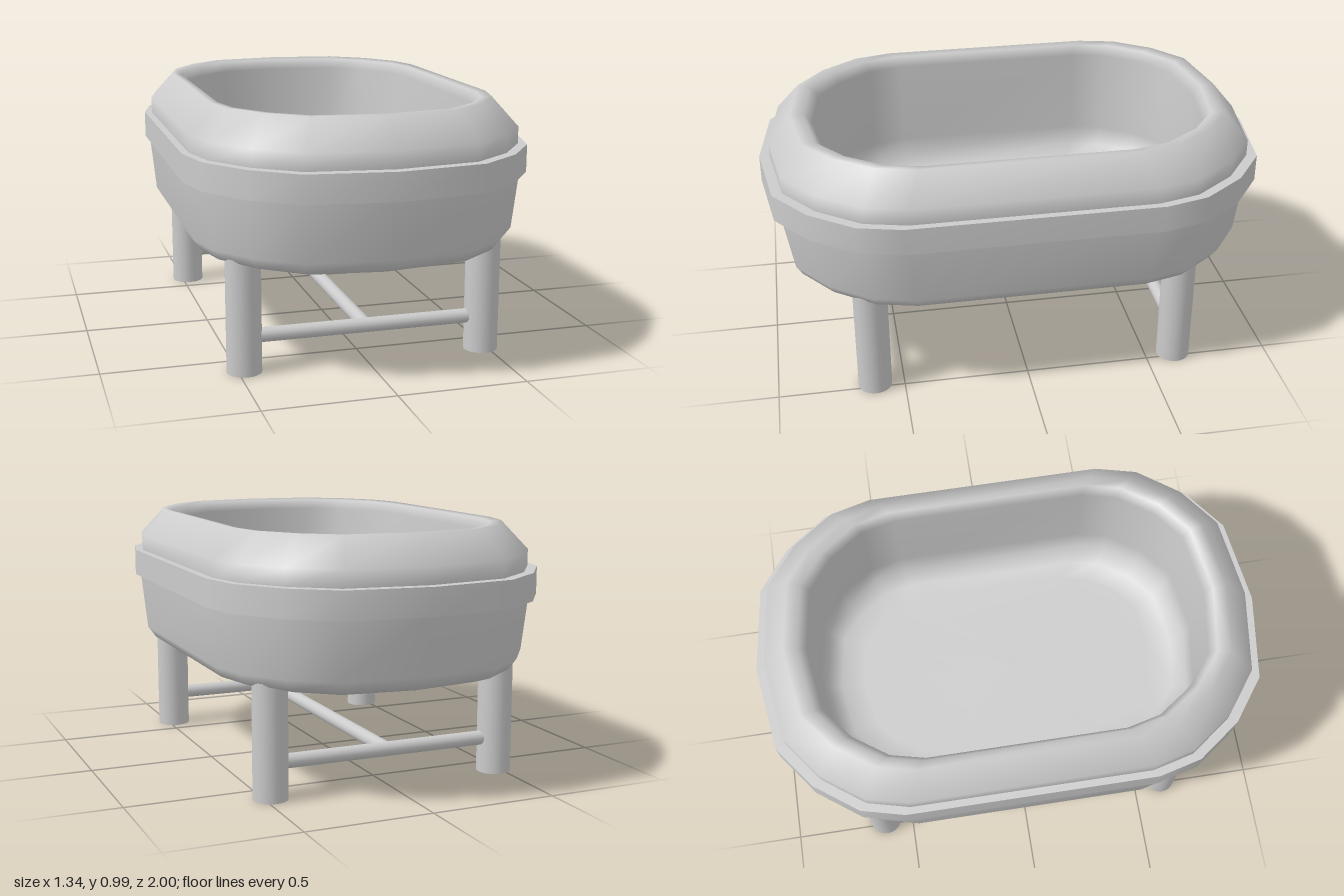
import * as THREE from 'three';

const material = new THREE.MeshStandardMaterial({ color: 0xcccccc, side: THREE.DoubleSide });

// Tub outline for a unit half-width and half-length, running from +z towards +x
const quarter = [[0.5, 0.955], [0.75, 0.83], [0.936, 0.66], [1, 0.49]];
const back = quarter.map(([x, z]) => [x, -z]).reverse();
const rightHalf = [...quarter, ...back];
const leftHalf = rightHalf.map(([x, z]) => [-x, z]).reverse();
const outline = [[0, 1], ...rightHalf, [0, -1], ...leftHalf];

// Smooth skin through rings given as [half-width, half-length, height]
function skin(rings) {
  const n = outline.length;
  const positions = [], index = [];
  for (const [w, l, y] of rings)
    for (const [x, z] of outline) positions.push(x * w, y, z * l);
  for (let j = 0; j < rings.length - 1; j++)
    for (let i = 0; i < n; i++) {
      const a = j * n + i, b = j * n + (i + 1) % n;
      index.push(a, b, b + n, a, b + n, a + n);
    }
  const geometry = new THREE.BufferGeometry();
  geometry.setAttribute('position', new THREE.Float32BufferAttribute(positions, 3));
  geometry.setIndex(index);
  geometry.computeVertexNormals();
  return geometry;
}

export function createModel() {
  const model = new THREE.Group();
  model.name = 'tubOnStand';

  function add(name, geometry, parent = model) {
    const mesh = new THREE.Mesh(geometry, material);
    mesh.name = name;
    parent.add(mesh);
    return mesh;
  }

  // Outer shell with a rounded bottom edge
  add('tubBody', skin([
    [0, 0, 0.405], [0.42, 0.72, 0.405], [0.55, 0.85, 0.417], [0.6, 0.905, 0.437],
    [0.63, 0.93, 0.48], [0.652, 0.957, 0.71],
  ]));

  // Raised band, with separate skins for its sharp edges
  const band = new THREE.Group();
  band.name = 'band';
  model.add(band);
  add('bandUnderside', skin([[0.645, 0.95, 0.708], [0.668, 0.998, 0.708]]), band);
  add('bandSide', skin([[0.668, 0.998, 0.708], [0.668, 0.998, 0.815]]), band);
  add('bandTop', skin([[0.668, 0.998, 0.815], [0.638, 0.955, 0.815]]), band);

  // Sloped rim rolling over into the basin
  add('rimAndBasin', skin([
    [0.64, 0.957, 0.815], [0.64, 0.957, 0.88], [0.548, 0.865, 0.99],
    [0.515, 0.81, 0.985], [0.495, 0.78, 0.945], [0.49, 0.772, 0.6],
    [0.475, 0.755, 0.52], [0.42, 0.7, 0.475], [0.35, 0.6, 0.465], [0, 0, 0.465],
  ]));

  // Legs and the bars joining them
  const stand = new THREE.Group();
  stand.name = 'stand';
  model.add(stand);
  const legX = 0.475, legZ = 0.617, barY = 0.138;
  for (const z of [legZ, -legZ]) {
    for (const x of [legX, -legX]) {
      add(z > 0 ? 'frontLeg' : 'backLeg', new THREE.CylinderGeometry(0.067, 0.067, 0.46, 24), stand)
        .position.set(x, 0.23, z);
    }
    const bar = add(z > 0 ? 'frontBar' : 'backBar', new THREE.CylinderGeometry(0.028, 0.028, 2 * legX, 16), stand);
    bar.rotation.z = Math.PI / 2;
    bar.position.set(0, barY, z);
  }
  const longBar = add('longBar', new THREE.CylinderGeometry(0.028, 0.028, 2 * legZ, 16), stand);
  longBar.rotation.x = Math.PI / 2;
  longBar.position.y = barY;

  return model;
}
